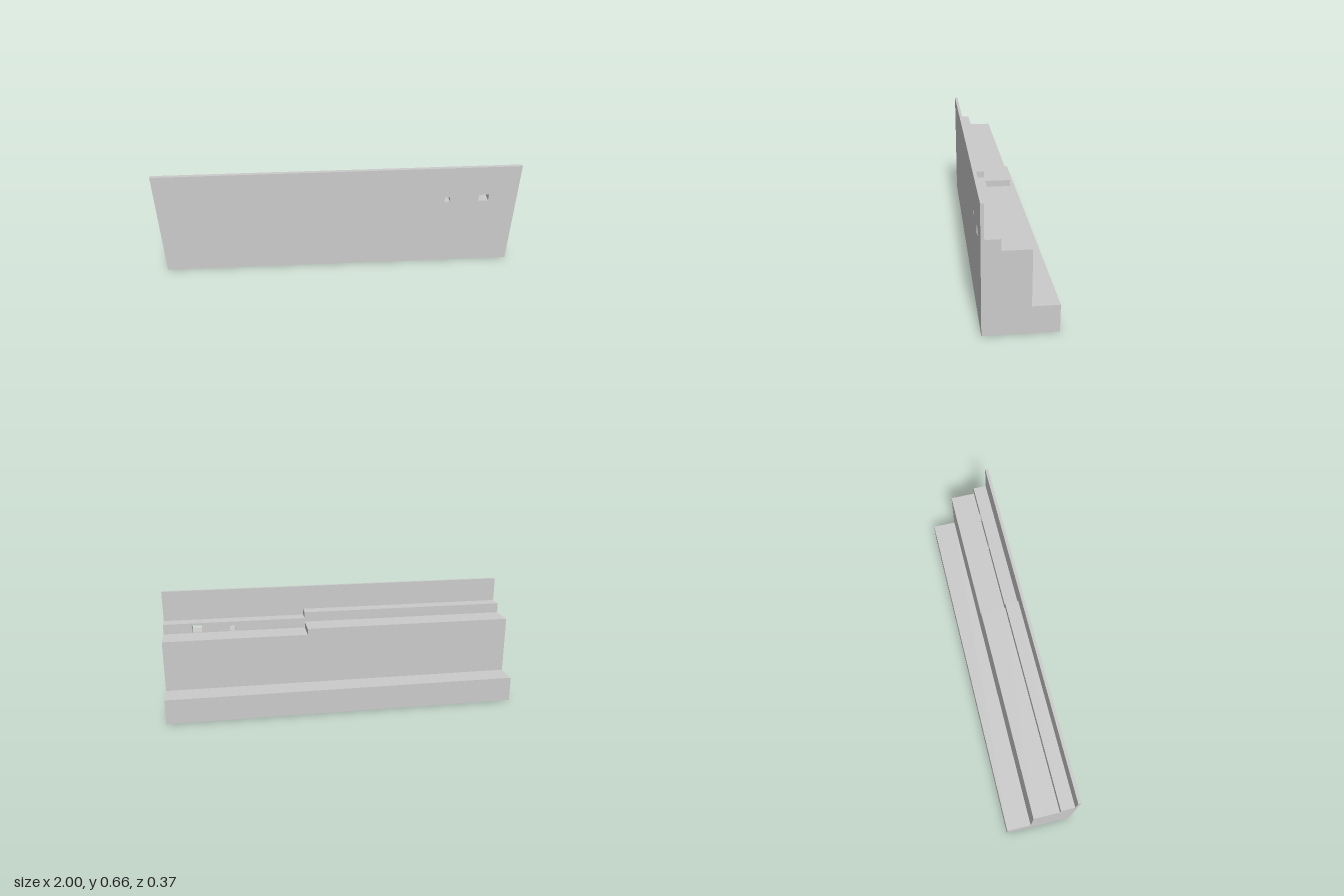
import * as THREE from 'three';

const STEP_X = 0.19; // where the ledges drop to the lower level

// Rectangular through-openings: [x0, x1, y0, y1]
const OPENINGS = [
  [0.595, 0.624, 0.436, 0.465],
  [0.784, 0.84, 0.436, 0.477],
];

function rectPath([x0, x1, y0, y1]) {
  const p = new THREE.Path();
  p.moveTo(x0, y0);
  p.lineTo(x0, y1);
  p.lineTo(x1, y1);
  p.lineTo(x1, y0);
  p.closePath();
  return p;
}

// One full-length layer between two depths, high on -x and low on +x
function layer(name, zBack, zFront, high, low, openings, material) {
  const s = new THREE.Shape();
  s.moveTo(-1, 0);
  s.lineTo(1, 0);
  s.lineTo(1, low);
  if (low !== high) {
    s.lineTo(STEP_X, low);
    s.lineTo(STEP_X, high);
  }
  s.lineTo(-1, high);
  s.closePath();
  s.holes = openings.map(rectPath);
  const g = new THREE.ExtrudeGeometry(s, { depth: zFront - zBack, bevelEnabled: false });
  g.translate(0, 0, zBack);
  const mesh = new THREE.Mesh(g, material);
  mesh.name = name;
  return mesh;
}

export function createModel() {
  const group = new THREE.Group();
  group.name = 'steppedWall';
  const grey = new THREE.MeshStandardMaterial({ color: 0xcccccc });
  group.add(
    layer('frontPanel', 0.168, 0.185, 0.663, 0.663, OPENINGS, grey),
    layer('upperLedge', 0.092, 0.168, 0.525, 0.49, OPENINGS, grey),
    layer('mainBody', -0.05, 0.092, 0.468, 0.433, [], grey),
    layer('rearFoot', -0.185, -0.05, 0.143, 0.143, [], grey),
  );
  return group;
}
